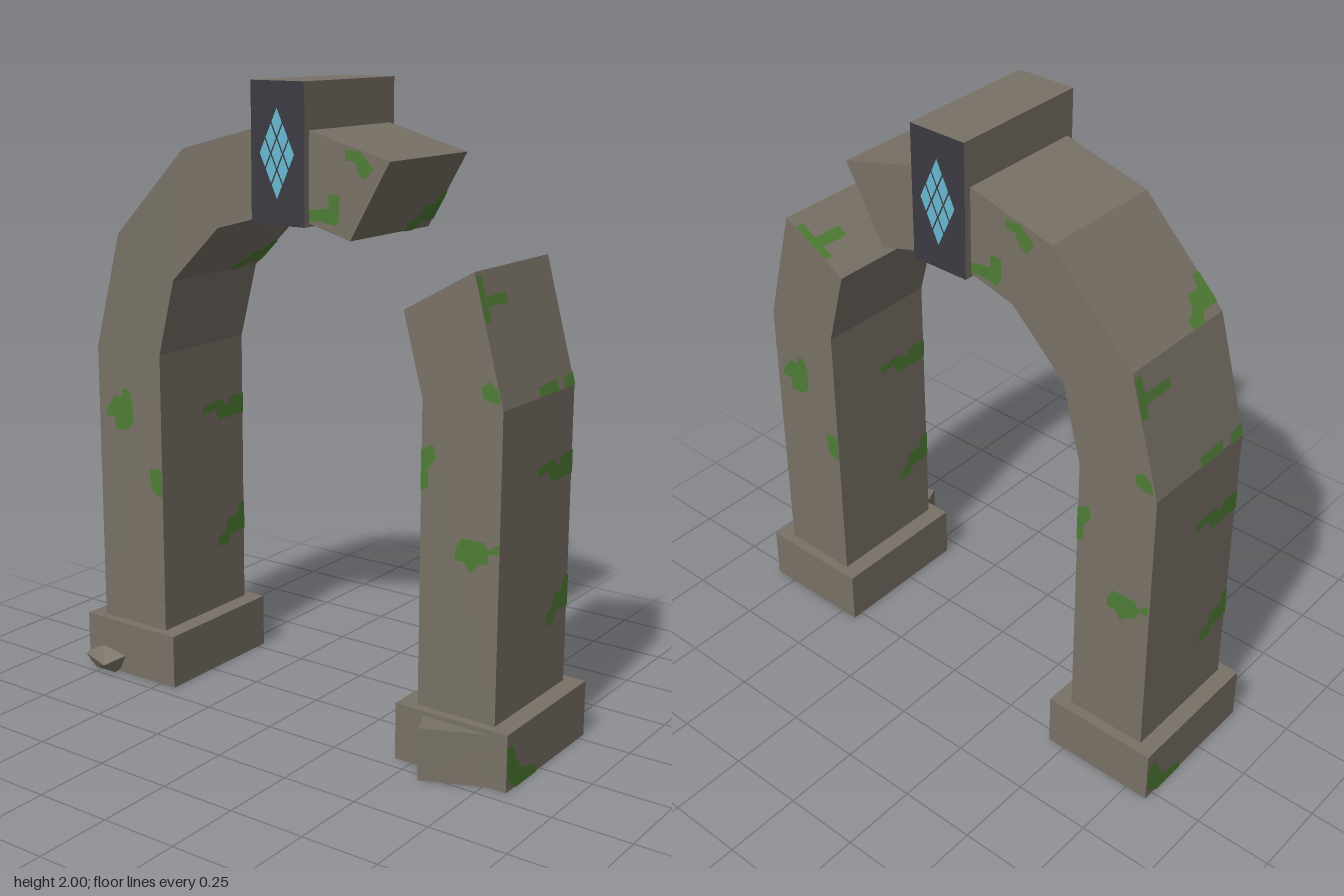
import * as THREE from 'three';
import { ConvexGeometry } from 'three/addons/geometries/ConvexGeometry.js';

const mat = (name, color, side = THREE.FrontSide) => {
  const m = new THREE.MeshStandardMaterial({ color, side });
  m.name = name;
  return m;
};

export function createModel() {
  const root = new THREE.Group();
  root.name = 'ruinedArch';
  const stone = mat('stone', 0x787166);
  const dark = mat('darkSlate', 0x3b3a41);
  const glow = mat('paleBlue', 0x66b8d0);
  const green = mat('moss', 0x4f7d35);
  const FRONT = 0.17, BACK = -0.25, MID = -0.04;

  const add = (name, geo, material, parent = root) => {
    const m = new THREE.Mesh(geo, material);
    m.name = name;
    parent.add(m);
    return m;
  };
  const outline = (pts) => new THREE.Shape(pts.map(([x, y]) => new THREE.Vector2(x, y)));
  const extrude = (shape, depth) => new THREE.ExtrudeGeometry(shape, { depth, bevelEnabled: false });

  // Intact side of the arch, from the left pier up to the keystone
  add('intactArch', extrude(outline([
    [-0.77, 0.18], [-0.5, 0.18], [-0.5, 1.12], [-0.435, 1.37], [-0.25, 1.55], [-0.1, 1.59],
    [0, 1.61], [0, 1.88], [-0.1, 1.86], [-0.385, 1.785], [-0.665, 1.5], [-0.77, 1.12],
  ]), FRONT - BACK), stone).position.z = BACK;

  // Broken stub hanging from the keystone, and the broken pier below it
  add('brokenStub', extrude(outline([
    [0, 1.61], [0.1, 1.59], [0.245, 1.55], [0.38, 1.785], [0.1, 1.86], [0, 1.88],
  ]), FRONT - BACK), stone).position.z = BACK;
  add('brokenPier', extrude(outline([
    [0.5, 0.18], [0.765, 0.18], [0.765, 1.12], [0.662, 1.5], [0.432, 1.37], [0.5, 1.12],
  ]), FRONT - BACK), stone).position.z = BACK;

  // Plinths, hollow underneath
  for (const s of [-1, 1]) {
    const rect = (w, d) => [[-w, -d], [w, -d], [w, d], [-w, d]];
    const ring = outline(rect(0.192, 0.242));
    ring.holes.push(outline(rect(0.133, 0.208)));
    const geo = extrude(ring, 0.18).rotateX(-Math.PI / 2);
    add(s < 0 ? 'leftPlinth' : 'rightPlinth', geo, stone).position.set(s * 0.633, 0, -0.042);
  }

  // Keystone with dark front and back
  add('keystone', new THREE.BoxGeometry(0.196, 0.42, 0.465),
    [stone, stone, stone, stone, dark, dark]).position.set(0, 1.79, MID);

  // Rune: a lattice of nine small diamonds on each dark face
  const diamonds = [];
  for (let i = -1; i <= 1; i++) for (let j = -1; j <= 1; j++) {
    const x = (i - j) * 0.022, y = (i + j) * 0.046;
    diamonds.push(outline([[x - 0.019, y], [x, y - 0.041], [x + 0.019, y], [x, y + 0.041]]));
  }
  for (const s of [1, -1]) {
    const rune = add(s > 0 ? 'frontRune' : 'backRune', new THREE.ShapeGeometry(diamonds), glow);
    rune.position.set(0, 1.79, MID + s * 0.236);
    if (s < 0) rune.rotation.y = Math.PI;
  }

  // Fallen block and small rock at the feet
  const block = add('fallenBlock', new THREE.BoxGeometry(0.24, 0.165, 0.2).translate(0.12, 0.0825, -0.1), stone);
  block.position.set(0.575, 0, 0.282);
  block.rotation.y = 0.41;
  add('smallRock', new ConvexGeometry([
    [-0.82, 0.04, 0.225], [-0.8, 0.06, 0.2], [-0.75, 0.08, 0.21], [-0.66, 0.06, 0.2], [-0.695, 0.04, 0.27],
    [-0.78, 0, 0.22], [-0.69, 0, 0.22], [-0.74, 0.07, 0.14], [-0.81, 0.03, 0.16], [-0.67, 0.03, 0.14],
    [-0.74, 0, 0.13],
  ].map((p) => new THREE.Vector3(...p))), stone);

  // Moss: flat patches laid just above a face, turned by yaw and tilted by pitch
  const moss = new THREE.Group();
  moss.name = 'mossPatches';
  root.add(moss);
  const patch = (polys, x, y, z, yaw = 0, pitch = 0) => {
    const geo = new THREE.ShapeGeometry(polys.map(outline)).translate(0, 0, 0.003);
    const m = add('moss', geo, green, moss);
    m.position.set(x, y, z);
    m.rotation.set(pitch, yaw, 0, 'YXZ');
  };

  const bigBlob = [[-0.74, 0.89], [-0.7, 0.89], [-0.7, 0.85], [-0.65, 0.85], [-0.62, 0.88], [-0.62, 0.95],
    [-0.635, 0.99], [-0.665, 0.99], [-0.665, 0.96], [-0.7, 0.96], [-0.73, 0.92]];
  const edgeBlob = [[-0.54, 0.66], [-0.5, 0.64], [-0.5, 0.735], [-0.55, 0.735], [-0.55, 0.69]];
  const tallBlob = [[0.5, 0.85], [0.525, 0.86], [0.525, 0.92], [0.55, 0.95], [0.54, 0.99], [0.5, 0.97]];
  const wideBlob = [[0.62, 0.66], [0.65, 0.66], [0.67, 0.63], [0.7, 0.66], [0.73, 0.67], [0.73, 0.7],
    [0.763, 0.7], [0.763, 0.735], [0.73, 0.71], [0.72, 0.73], [0.64, 0.73], [0.62, 0.69]];
  const bendBlob = [[0.7, 1.15], [0.735, 1.14], [0.758, 1.14], [0.748, 1.18], [0.72, 1.2], [0.695, 1.18]];
  const stubLow = [[0.1, 1.594], [0.13, 1.6], [0.2, 1.59], [0.21, 1.62], [0.21, 1.68], [0.17, 1.68], [0.17, 1.64],
    [0.1, 1.63]];
  const stubHigh = [[0.28, 1.74], [0.3, 1.73], [0.325, 1.76], [0.31, 1.78], [0.28, 1.81], [0.225, 1.81],
    [0.23, 1.78], [0.26, 1.78]];
  const facePatches = [bigBlob, edgeBlob, tallBlob, wideBlob, bendBlob, stubLow, stubHigh];
  patch(facePatches, 0, 0, FRONT);
  patch(facePatches, 0, 0, BACK, Math.PI);

  const streak = [[0, 0.03], [0.06, 0.04], [0.08, 0], [0.21, 0], [0.21, 0.07], [0.14, 0.07], [0.12, 0.04],
    [0.09, 0.07], [0, 0.06]];
  const climb = [[0.07, 0], [0.12, 0], [0.14, 0.03], [0.21, 0.03], [0.21, 0.13], [0.18, 0.13], [0.17, 0.09],
    [0.12, 0.09], [0.11, 0.05], [0.07, 0.03]];
  const seams = [[[0, 0], [0.11, 0], [0.11, 0.035], [0, 0.03]], [[0.15, 0], [0.21, 0], [0.21, 0.04], [0.15, 0.03]]];
  const corner = [[-0.21, 0.25], [-0.18, 0.25], [-0.18, 0.29], [-0.07, 0.29], [-0.07, 0.32], [-0.18, 0.32],
    [-0.18, 0.38], [-0.21, 0.38]];
  const foot = [[-0.24, 0.04], [-0.19, 0], [-0.07, 0], [-0.07, 0.03], [-0.16, 0.05], [-0.19, 0.1], [-0.21, 0.14],
    [-0.24, 0.14]];
  for (const s of [1, -1]) {
    const yaw = s * Math.PI / 2;
    for (const x of [s * (s > 0 ? 0.765 : 0.77), -s * 0.5]) {
      patch([streak], x, 0.85, MID, yaw);
      patch([climb], x, 0.4, MID, yaw);
    }
    patch([...seams, corner], s * (s > 0 ? 0.765 : 0.77), 1.12, MID, yaw, -0.268);
    patch([foot], s * 0.825, 0, MID, yaw);
  }

  // Moss on the upper slope, the underside and the two broken ends
  const q = Math.PI / 2;
  patch([climb], -0.665, 1.5, MID, -q, -0.78);
  patch([climb], -0.435, 1.37, MID, q, 0.8);
  patch([climb], 0.245, 1.55, MID, q, 0.521);
  patch([[[-0.21, 0.08], [-0.18, 0.08], [-0.18, 0.12], [-0.08, 0.12], [-0.08, 0.16], [-0.18, 0.16], [-0.18, 0.22],
    [-0.21, 0.22]]], 0.432, 1.37, MID, -q, -1.056);

  return root;
}
